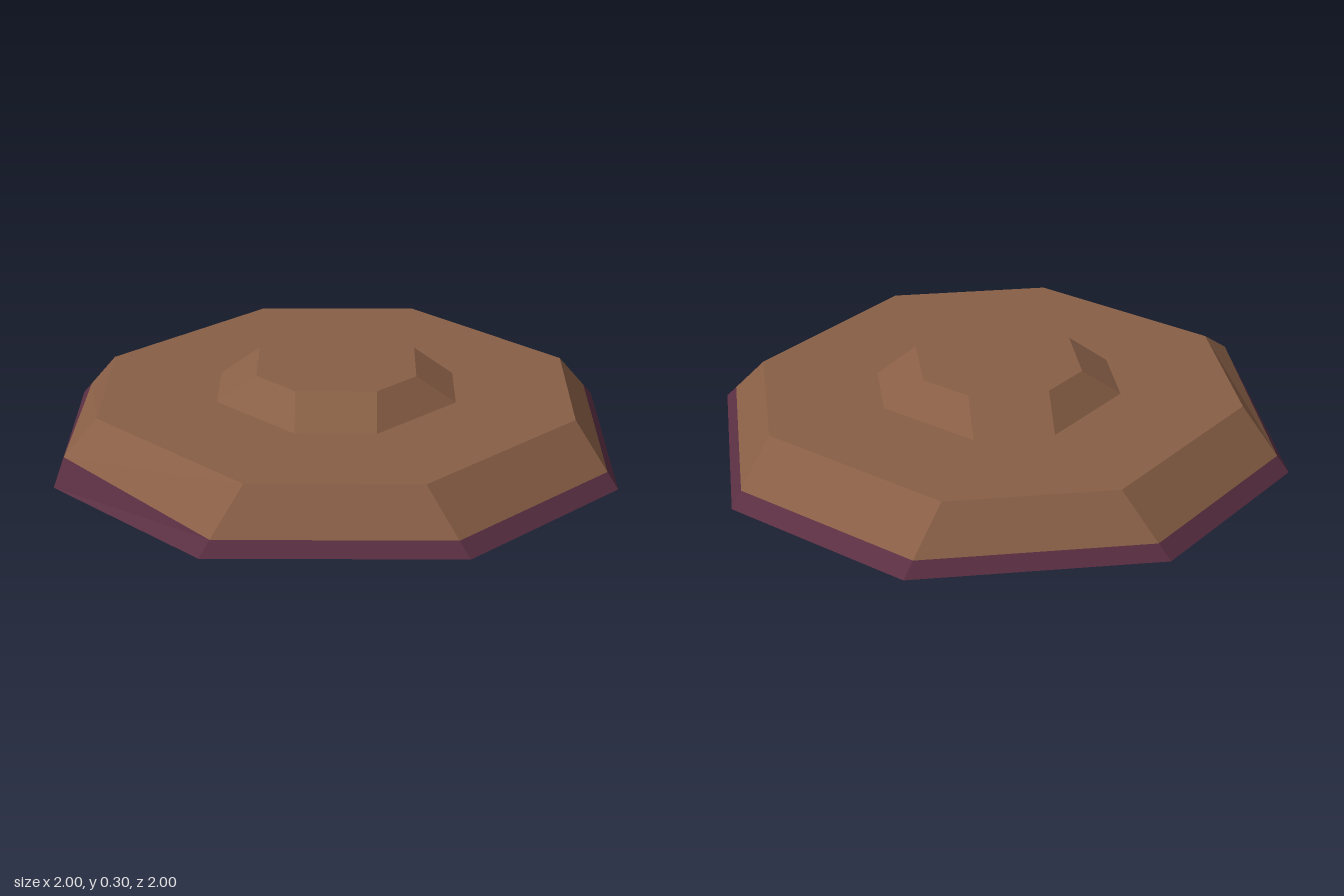
import * as THREE from 'three';

// Octagon of half-width a whose axis-aligned sides have half-length b, at height y
function octagon(a, b, y) {
  return [[b, a], [a, b], [a, -b], [b, -a], [-b, -a], [-a, -b], [-a, b], [-b, a]]
    .map(([x, z]) => new THREE.Vector3(x, y, z));
}

function facets(name, triangles, material) {
  const geometry = new THREE.BufferGeometry().setFromPoints(triangles);
  geometry.computeVertexNormals();
  const mesh = new THREE.Mesh(geometry, material);
  mesh.name = name;
  return mesh;
}

// Band of flat faces joining a lower (or outer) ring to an upper (or inner) one
function band(name, low, high, material) {
  const triangles = [];
  low.forEach((p, i) => {
    const j = (i + 1) % low.length;
    triangles.push(p, low[j], high[j], p, high[j], high[i]);
  });
  return facets(name, triangles, material);
}

function cap(name, ring, material) {
  const triangles = [];
  for (let i = 1; i < ring.length - 1; i++) triangles.push(ring[0], ring[i], ring[i + 1]);
  return facets(name, triangles, material);
}

export function createModel() {
  const brown = new THREE.MeshStandardMaterial({ color: 0x895f46, side: THREE.DoubleSide, flatShading: true });
  brown.name = 'brown';
  const plum = new THREE.MeshStandardMaterial({ color: 0x5a2f42, side: THREE.DoubleSide, flatShading: true });
  plum.name = 'plum';

  // Rings from the ground up; the shell is hollow and open below
  const foot = octagon(1, 0.38, 0);
  const trim = octagon(0.95, 0.38, 0.05);
  trim[5].y = 0.1; // one raised corner at the back right
  const shoulder = octagon(0.8, 0.38, 0.2);
  const bossBase = octagon(0.4, 0.2, 0.2);
  const bossTop = octagon(0.3, 0.1, 0.3);

  const group = new THREE.Group();
  group.name = 'octagonalPlatform';
  group.add(
    band('rimTrim', foot, trim, plum),
    band('slopedSides', trim, shoulder, brown),
    band('deck', shoulder, bossBase, brown),
    band('bossSides', bossBase, bossTop, brown),
    cap('bossTop', bossTop, brown),
  );
  return group;
}
